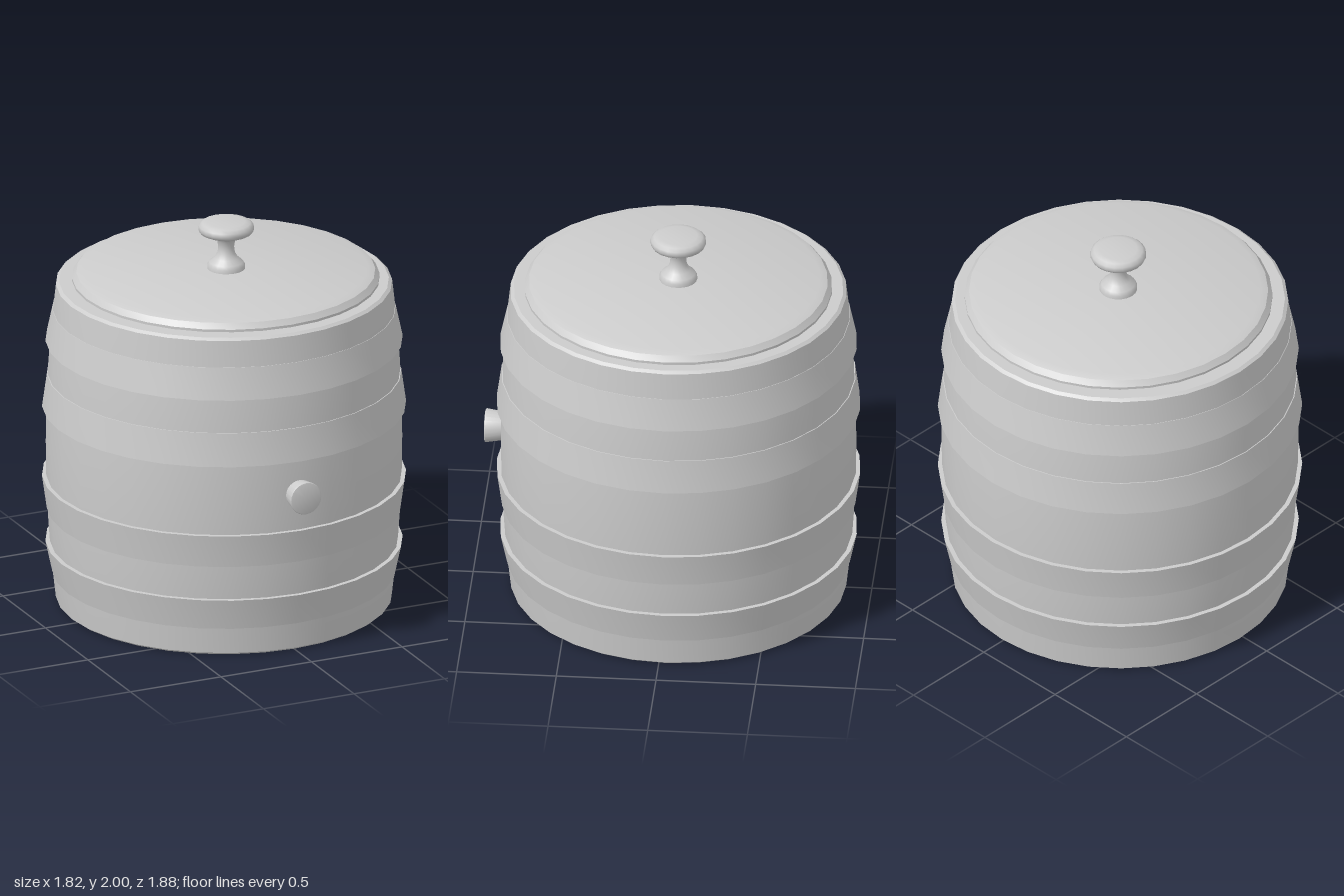
import * as THREE from 'three';
import { toCreasedNormals } from 'three/addons/utils/BufferGeometryUtils.js';

const material = new THREE.MeshStandardMaterial({ color: 0xcccccc });

// Turned part from [radius, height] pairs, listed so the outside runs upwards
function turned(name, profile, sides, crease = 0.55) {
  const points = profile.map(([r, y]) => new THREE.Vector2(r, y));
  const geometry = toCreasedNormals(new THREE.LatheGeometry(points, sides), crease);
  const mesh = new THREE.Mesh(geometry, material);
  mesh.name = name;
  return mesh;
}

export function createModel() {
  const group = new THREE.Group();
  group.name = 'barrel';
  const barrel = new THREE.Group();
  barrel.name = 'barrelBody';
  barrel.position.z = -0.03;
  group.add(barrel);

  // Bulging staves with a recessed head at each end
  const height = 1.69, mid = height / 2;
  const bulge = (y) => 0.892 - 0.052 * Math.pow(Math.abs(y - mid) / mid, 2);
  const wall = [];
  for (let i = 0; i <= 12; i++) {
    const y = 0.012 + (i / 12) * (height - 0.024);
    wall.push([bulge(y), y]);
  }
  barrel.add(turned('staves', [
    [0, 0.12], [0.73, 0.12], [0.75, 0], [0.825, 0],
    ...wall,
    [0.825, height], [0.75, height], [0.73, height - 0.12], [0, height - 0.12],
  ], 32));

  // Hoops, mirrored about the middle, flaring towards the bulge
  const hoops = [
    { name: 'OuterHoop', y0: 0.148, y1: 0.311, r0: 0.859, r1: 0.894 },
    { name: 'InnerHoop', y0: 0.488, y1: 0.66, r0: 0.887, r1: 0.911 },
  ];
  for (const { name, y0, y1, r0, r1 } of hoops) {
    const ring = [[r0 - 0.03, y0], [r0, y0], [r1, y1], [r1 - 0.04, y1]];
    const mirrored = ring.map(([r, y]) => [r, height - y]).reverse();
    barrel.add(turned('lower' + name, ring, 32));
    barrel.add(turned('upper' + name, mirrored, 32));
  }

  // Lid with a softened edge
  const lid = turned('lid', [
    [0, 1.69], [0.75, 1.69], [0.77, 1.697], [0.77, 1.71],
    [0.748, 1.738], [0.71, 1.752], [0, 1.752],
  ], 32);
  lid.position.x = 0.01;
  barrel.add(lid);

  // Turned knob on the lid
  const knob = turned('knob', [
    [0, 1.745], [0.095, 1.745], [0.095, 1.77], [0.085, 1.787], [0.06, 1.808],
    [0.044, 1.835], [0.04, 1.865], [0.045, 1.9], [0.06, 1.922], [0.11, 1.934],
    [0.132, 1.945], [0.14, 1.96], [0.138, 1.98], [0.122, 1.994], [0.095, 2], [0, 1.997],
  ], 20, 0.9);
  knob.position.x = 0.012;
  barrel.add(knob);

  // Tapered bung in the front
  const bung = turned('bung', [
    [0, 0], [0.07, 0], [0.085, 0.095], [0.083, 0.1], [0.077, 0.102], [0, 0.102],
  ], 24);
  bung.rotation.x = Math.PI / 2;
  bung.position.set(0, 0.85, 0.838);
  group.add(bung);

  return group;
}
